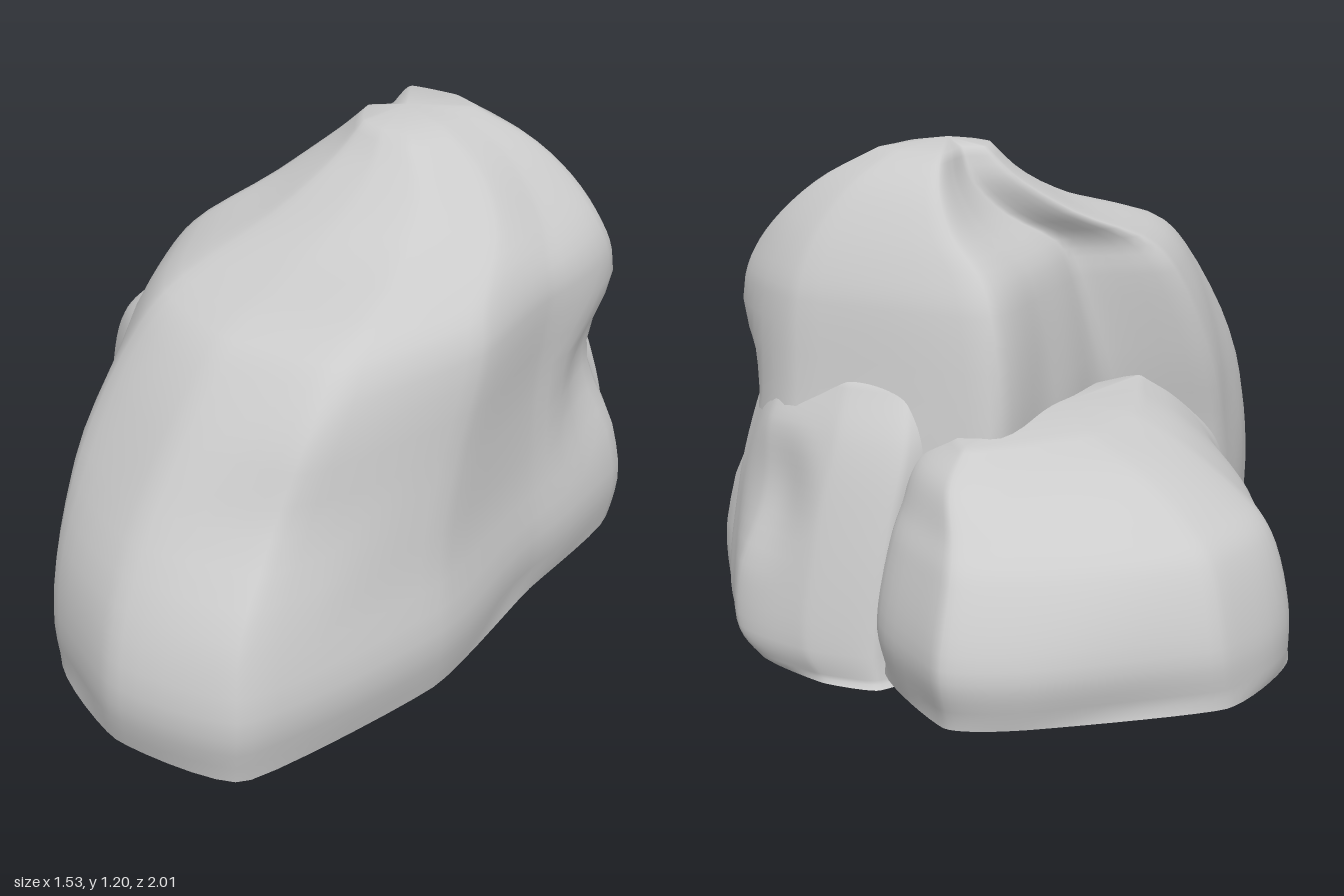
import * as THREE from 'three';

const material = new THREE.MeshStandardMaterial({ color: 0xcccccc, roughness: 0.9 });
const AROUND = 72, UP = 28;

// Small smooth unevenness of the stone surface
const ripple = (x, y, z) =>
  0.006 * Math.sin(9 * x + 4 * y + 1) * Math.cos(8 * z - 5 * y) + 0.004 * Math.sin(15 * z + 11 * x - 7 * y);

// Lofts a stone from one plan outline (x, z pairs within -1..1, counter-clockwise
// seen from above), fitted at each level to [height, left edge, right edge, back, front].
// Dents are [x, y, z, radius, depth].
function stone(name, plan, levels, crown, dents) {
  const rings = levels.map(([y, x0, x1, z0, z1]) => {
    const points = [];
    for (let i = 0; i < plan.length; i += 2) {
      points.push(new THREE.Vector3(
        THREE.MathUtils.mapLinear(plan[i], -1, 1, x0, x1), y,
        THREE.MathUtils.mapLinear(plan[i + 1], -1, 1, z0, z1)));
    }
    return new THREE.CatmullRomCurve3(points, true, 'catmullrom', 0.25);
  });
  const top = new THREE.Vector3(...crown);
  const pos = [], index = [];

  for (let i = 0; i < AROUND; i++) {
    const column = new THREE.CatmullRomCurve3(rings.map((r) => r.getPoint(i / AROUND)), false, 'centripetal');
    for (let j = 0; j <= UP; j++) {
      const v = column.getPoint(j / UP);
      const inward = new THREE.Vector3(top.x - v.x, 0, top.z - v.z).normalize();
      let push = j > 0 ? ripple(v.x, v.y, v.z) : 0;
      for (const [x, y, z, radius, depth] of dents) {
        const d = v.distanceTo(new THREE.Vector3(x, y, z)) / radius;
        if (d < 1) push += depth * (1 - d * d) ** 2;
      }
      v.addScaledVector(inward, push);
      pos.push(v.x, v.y, v.z);
    }
  }

  // Sides and crown
  const at = (i, j) => (i % AROUND) * (UP + 1) + j;
  const crownIndex = pos.length / 3;
  pos.push(top.x, top.y, top.z);
  for (let i = 0; i < AROUND; i++) {
    for (let j = 0; j < UP; j++) {
      index.push(at(i, j), at(i + 1, j), at(i + 1, j + 1), at(i, j), at(i + 1, j + 1), at(i, j + 1));
    }
    index.push(at(i, UP), at(i + 1, UP), crownIndex);
  }

  // Flat underside with its own vertices, so the lower edge stays sharp
  const base = pos.length / 3;
  const outline = [];
  for (let i = 0; i < AROUND; i++) {
    const k = at(i, 0) * 3;
    pos.push(pos[k], pos[k + 1], pos[k + 2]);
    outline.push(new THREE.Vector2(pos[k], -pos[k + 2]));
  }
  for (const [a, b, c] of THREE.ShapeUtils.triangulateShape(outline, [])) {
    index.push(base + a, base + c, base + b);
  }

  const geometry = new THREE.BufferGeometry();
  geometry.setAttribute('position', new THREE.Float32BufferAttribute(pos, 3));
  geometry.setIndex(index);
  geometry.computeVertexNormals();
  const mesh = new THREE.Mesh(geometry, material);
  mesh.name = name;
  return mesh;
}

export function createModel() {
  const group = new THREE.Group();
  group.name = 'rockOutcrop';

  // Tall boulder: sloping front, high peak towards the back, hollow flank
  group.add(stone('mainBoulder',
    [0, 1, 0.67, 0.94, 1, 0.3, 0.96, -0.25, 0.95, -0.75, 0.3, -1, -0.8, -0.9, -0.76, -0.5, -0.62, -0.05, -1, 0.25, -0.6, 0.82],
    [
      [0.04, -0.24, 0.73, -0.72, 0.97],
      [0.2, -0.24, 0.76, -0.71, 1],
      [0.4, -0.24, 0.73, -0.68, 0.95],
      [0.62, -0.24, 0.72, -0.64, 0.82],
      [0.85, -0.19, 0.72, -0.6, 0.65],
      [0.93, -0.14, 0.69, -0.57, 0.56],
      [1.02, -0.02, 0.6, -0.52, 0.24],
      [1.11, 0.07, 0.49, -0.45, 0.03],
      [1.185, 0.14, 0.36, -0.36, -0.07],
    ],
    [0.24, 1.205, -0.2],
    [[0.71, 0.56, -0.42, 0.24, 0.06], [0.5, 0.58, 0.76, 0.26, 0.04]]));

  // Low boulder leaning against the hollow flank
  group.add(stone('sideBoulder',
    [0.28, 1, 1, 0.05, 0.95, -0.69, 0.16, -1, -0.23, -0.87, -1, -0.36, -0.93, 0.16, 0.1, 0.9],
    [
      [0.05, -0.75, 0.05, -0.97, 0.36],
      [0.18, -0.75, 0.05, -1, 0.36],
      [0.36, -0.69, 0.05, -0.92, 0.32],
      [0.43, -0.61, 0.05, -0.86, 0.3],
      [0.52, -0.45, 0.05, -0.77, 0.25],
      [0.58, -0.28, 0, -0.64, 0.15],
    ],
    [-0.14, 0.6, -0.25],
    [[-0.36, 0.3, 0.2, 0.18, 0.03]]));

  // Foot of the rear face, reaching slightly below the other stones
  group.add(stone('rearLedge',
    [0.2, 1, 1, 0.3, 0.42, -0.7, -0.33, -1, -0.88, -0.75, -1, 0.6],
    [
      [0.005, 0, 0.5, -0.82, -0.56],
      [0.08, 0, 0.64, -0.83, -0.45],
      [0.35, 0, 0.66, -0.77, -0.4],
      [0.55, 0, 0.64, -0.7, -0.35],
      [0.68, 0.05, 0.6, -0.62, -0.35],
    ],
    [0.33, 0.72, -0.48],
    [[0.42, 0.4, -0.74, 0.2, 0.04]]));

  return group;
}
